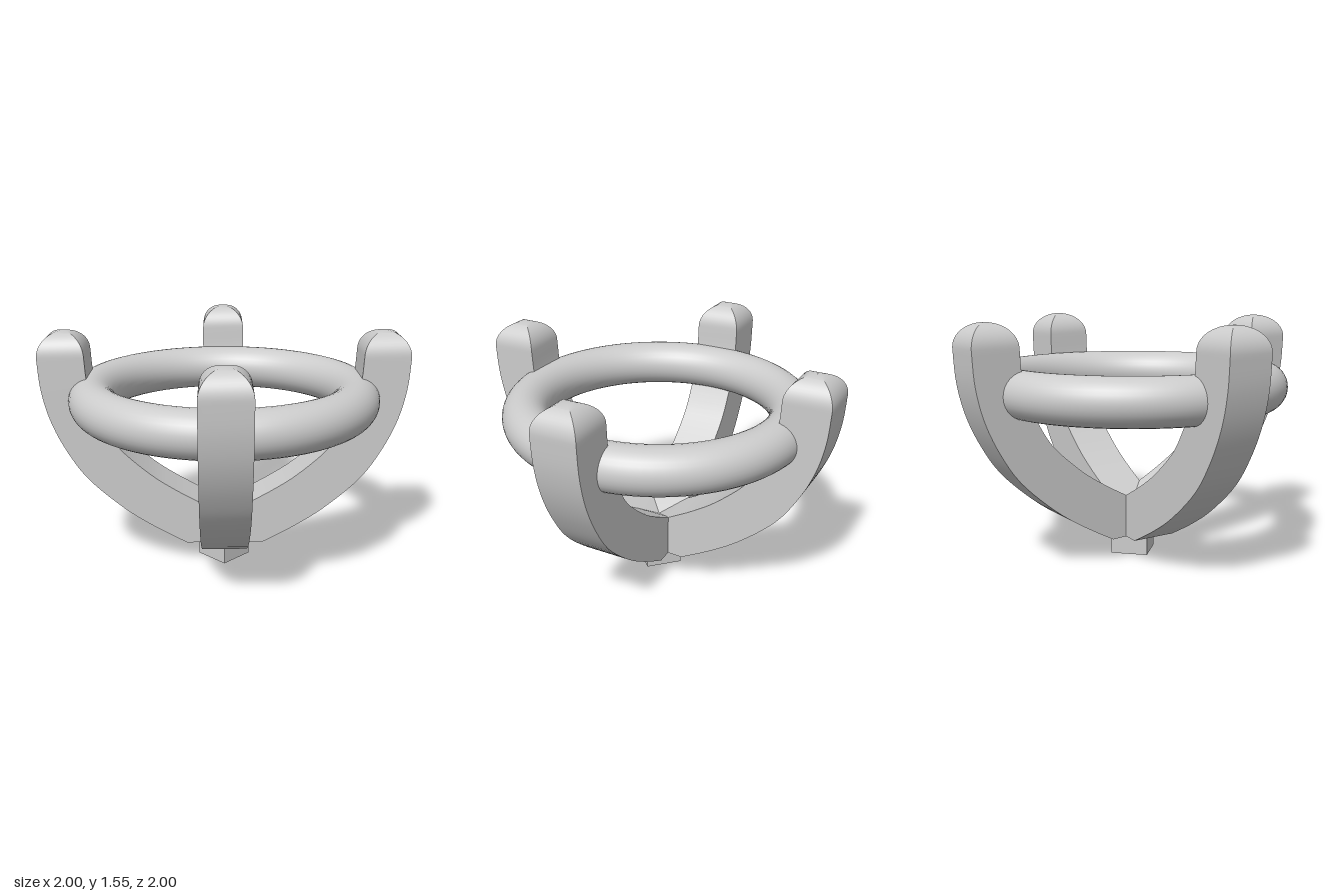
import * as THREE from 'three';
import { toCreasedNormals } from 'three/addons/utils/BufferGeometryUtils.js';

const HALF = 0.148; // half the side of the square prong section

// Square sections in a radial plane: outer point, inner point, half width
function prongSections() {
  const sections = [{ o: [0, 0.155], i: [0, 0.34], t: HALF }]; // foot meets the others at the axis
  const outer = new THREE.SplineCurve([
    [0.248, 0.145], [0.465, 0.265], [0.665, 0.4], [0.885, 0.6],
    [1.02, 0.8], [1.11, 1.0], [1.158, 1.2], [1.173, 1.405],
  ].map(([r, y]) => new THREE.Vector2(r, y)));
  const steps = 32;
  for (let k = 0; k <= steps; k++) {
    const p = outer.getPoint(k / steps);
    const d = outer.getTangent(k / steps);
    if (k === steps) d.set(0, 1);
    sections.push({
      o: [p.x, p.y],
      i: [p.x - 2 * HALF * d.y, p.y + 2 * HALF * d.x],
      t: HALF,
    });
  }
  // Pillow-shaped tip: the square shrinks along a quarter ellipse
  const domeSteps = 12;
  for (let k = 1; k <= domeSteps; k++) {
    const a = (k / domeSteps) * Math.PI / 2;
    const h = HALF * Math.max(Math.cos(a), 0.002);
    const y = 1.405 + 0.15 * Math.sin(a);
    sections.push({ o: [1.025 + h, y], i: [1.025 - h, y], t: h });
  }
  return sections;
}

// Skin the square sections
function prongGeometry() {
  const positions = [];
  const indices = [];
  prongSections().forEach(({ o, i, t }, s) => {
    positions.push(...o, t, ...o, -t, ...i, -t, ...i, t);
    if (s === 0) return;
    for (let c = 0; c < 4; c++) {
      const n = (c + 1) % 4;
      const a = (s - 1) * 4 + c, b = (s - 1) * 4 + n;
      indices.push(a, b, b + 4, a, b + 4, a + 4);
    }
  });
  const geometry = new THREE.BufferGeometry();
  geometry.setAttribute('position', new THREE.Float32BufferAttribute(positions, 3));
  geometry.setIndex(indices);
  return toCreasedNormals(geometry, THREE.MathUtils.degToRad(28));
}

export function createModel() {
  const group = new THREE.Group();
  const material = new THREE.MeshStandardMaterial({ color: 0xcccccc });
  const add = (name, geometry) => {
    const mesh = new THREE.Mesh(geometry, material);
    mesh.name = name;
    group.add(mesh);
    return mesh;
  };

  // Ring held between the prongs
  const ring = add('ring', new THREE.TorusGeometry(0.8525, 0.1475, 32, 96));
  ring.rotation.x = -Math.PI / 2;
  ring.position.y = 1.125;

  // Four curved prongs on the diagonals
  const geometry = prongGeometry();
  ['rightFront', 'rightBack', 'leftBack', 'leftFront'].forEach((corner, k) => {
    const prong = add(corner + 'Prong', geometry);
    prong.rotation.y = Math.PI * 1.25 + [0, -1, -2, -3][k] * Math.PI / 2;
  });

  // Small square foot
  add('foot', new THREE.BoxGeometry(0.24, 0.17, 0.24)).position.y = 0.085;

  return group;
}
